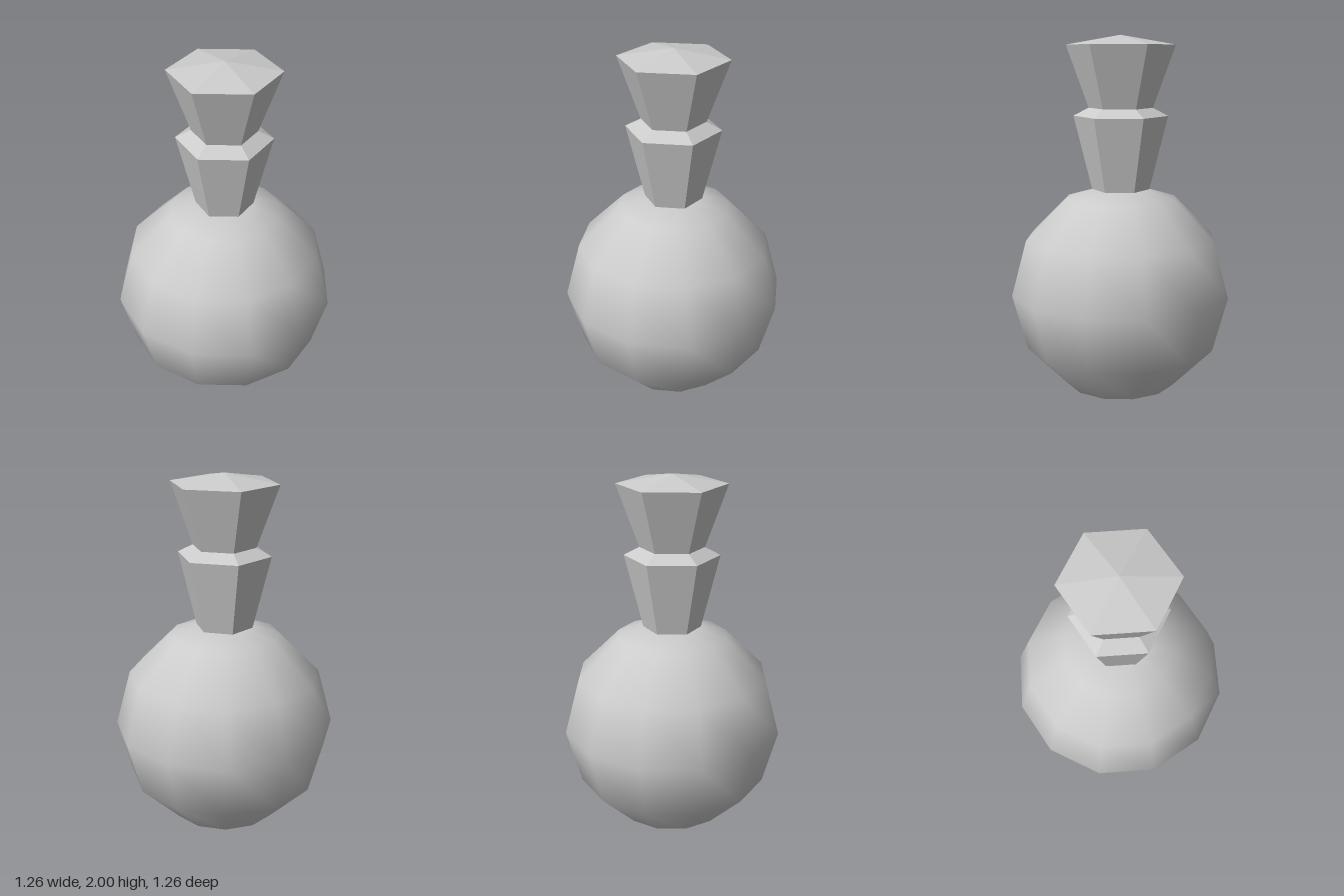
import * as THREE from 'three';

export function createModel() {
  const group = new THREE.Group();
  const smooth = new THREE.MeshStandardMaterial({ color: 0xcccccc });
  const flat = new THREE.MeshStandardMaterial({ color: 0xcccccc, flatShading: true });

  const add = (name, geometry, material) => {
    const mesh = new THREE.Mesh(geometry, material);
    mesh.name = name;
    group.add(mesh);
    return mesh;
  };

  // Round twelve-sided body, cut flat at the bottom and closed under the neck
  const R = 0.63, cy = 0.547;
  const profile = [];
  for (let i = 1; i <= 5; i++) {
    const a = (i * Math.PI) / 6;
    profile.push(new THREE.Vector2(R * Math.sin(a), cy - R * Math.cos(a)));
  }
  profile[0].y = 0;
  profile.push(new THREE.Vector2(0.15, 1.14), new THREE.Vector2(0, 1.14));
  add('body', new THREE.LatheGeometry(profile, 12), smooth);

  // Flat underside
  const base = add('base', new THREE.CircleGeometry(R / 2, 12), flat);
  base.rotation.x = Math.PI / 2;

  // Stacked six-sided sections, turned 15 degrees: [name, y0, r0, y1, r1]
  const sections = [
    ['neck', 1.14, 0.163, 1.555, 0.266],
    ['shoulder', 1.555, 0.266, 1.6, 0.18],
    ['stopper', 1.6, 0.18, 1.947, 0.305],
    ['stopperTop', 1.947, 0.305, 2.0, 0],
  ];
  for (const [name, y0, r0, y1, r1] of sections) {
    const geometry = new THREE.CylinderGeometry(r1, r0, y1 - y0, 6, 1, true, Math.PI / 12);
    add(name, geometry, flat).position.y = (y0 + y1) / 2;
  }

  return group;
}
